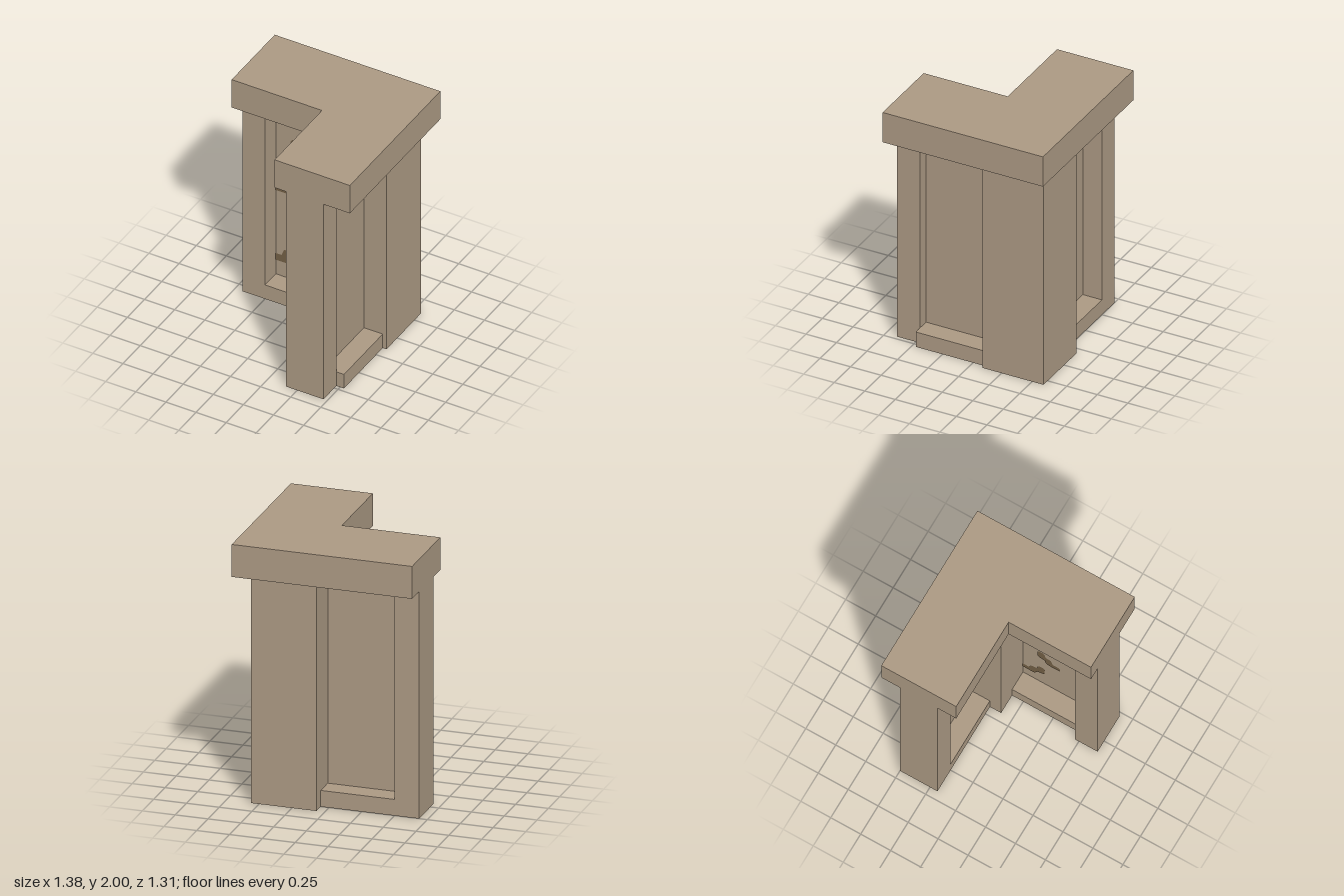
import * as THREE from 'three';

const U = 1 / 16; // layout unit

export function createModel() {
  const model = new THREE.Group();
  const stone = new THREE.MeshStandardMaterial({ color: 0xab9983 });
  stone.name = 'tan stone';
  const panelStone = new THREE.MeshStandardMaterial({ color: 0xab9983, side: THREE.DoubleSide });
  panelStone.name = 'tan stone panel';
  const stain = new THREE.MeshStandardMaterial({ color: 0x725f45, side: THREE.DoubleSide });
  stain.name = 'dark brown patch';

  // Box from its limits, in layout units
  function box(name, x0, x1, y0, y1, z0, z1) {
    const geo = new THREE.BoxGeometry((x1 - x0) * U, (y1 - y0) * U, (z1 - z0) * U);
    const mesh = new THREE.Mesh(geo, stone);
    mesh.name = name;
    mesh.position.set((x0 + x1) / 2 * U, (y0 + y1) / 2 * U, (z0 + z1) / 2 * U);
    model.add(mesh);
  }

  const shapeFrom = (pts) => new THREE.Shape(pts.map(([x, y]) => new THREE.Vector2(x, y)));

  // L-shaped cap; the outline's y becomes -z
  const outline = [[-11, 0.5], [1, 0.5], [1, -10.5], [11, -10.5], [11, 10.5], [-11, 10.5]];
  const capGeo = new THREE.ExtrudeGeometry(
    shapeFrom(outline.map(([x, y]) => [x * U, y * U])), { depth: 4 * U, bevelEnabled: false });
  capGeo.rotateX(-Math.PI / 2);
  const cap = new THREE.Mesh(capGeo, stone);
  cap.name = 'cap';
  cap.position.y = 28 * U;
  model.add(cap);

  // Posts
  box('cornerPost', 1, 9, 0, 28, -9.5, -1.5);
  box('sideEndPost', -11, -8, 0, 28, -8, -3);
  box('frontEndPost', 2.5, 7.5, 0, 28, 7.5, 10.5);

  // Low sills between the posts
  box('backSill', -8, 1, 0, 2, -8, -3);
  box('frontSill', 3.5, 8.5, 0, 2, -1.5, 7.5);

  // Dark patches, in panel coordinates
  const topPatch = [[-0.5, 1.5], [-0.39, 1.5], [-0.33, 1.55], [-0.315, 1.57], [-0.28, 1.6],
    [-0.315, 1.64], [-0.325, 1.75], [-0.375, 1.75], [-0.38, 1.7], [-0.43, 1.67], [-0.45, 1.62], [-0.5, 1.6]];
  const cornerPatch = [[-0.065, 1.75], [-0.065, 1.69], [-0.05, 1.66], [-0.03, 1.64],
    [0, 1.645], [0.02, 1.655], [0.0625, 1.655], [0.0625, 1.75]];
  const fallingPatch = [[-0.375, 1.36], [-0.36, 1.38], [-0.33, 1.38], [-0.315, 1.36], [-0.31, 1.315],
    [-0.265, 1.31], [-0.25, 1.25], [-0.2, 1.25], [-0.19, 1.235], [-0.19, 1.195], [-0.28, 1.19],
    [-0.31, 1.21], [-0.315, 1.25], [-0.36, 1.26], [-0.375, 1.28]];
  const risingPatch = [[-0.5, 0.88], [-0.4, 0.88], [-0.38, 0.93], [-0.32, 0.96], [-0.315, 1.05],
    [-0.335, 1.07], [-0.36, 1.065], [-0.375, 1.045], [-0.38, 1.005], [-0.43, 0.99], [-0.45, 0.94], [-0.5, 0.94]];
  const patches = [[topPatch, 0], [cornerPatch, 0]];
  for (const drop of [0, 0.625]) patches.push([fallingPatch, -drop], [risingPatch, -drop]);

  // Thin recessed panel with patches on its inner face
  function panel(name) {
    const group = new THREE.Group();
    group.name = name;
    const sheet = new THREE.Mesh(new THREE.PlaneGeometry(9 * U, 26 * U), panelStone);
    sheet.name = name + 'Sheet';
    sheet.position.set(-3.5 * U, 15 * U, 0);
    group.add(sheet);
    for (const [pts, y] of patches) {
      const mark = new THREE.Mesh(new THREE.ShapeGeometry(shapeFrom(pts)), stain);
      mark.name = name + 'Patch';
      mark.position.set(0, y, 0.004);
      group.add(mark);
    }
    model.add(group);
    return group;
  }
  panel('backPanel').position.z = -5.5 * U;
  const side = panel('frontPanel');
  side.rotation.y = -Math.PI / 2;
  side.position.set(6 * U, 0, 6.5 * U);

  return model;
}
